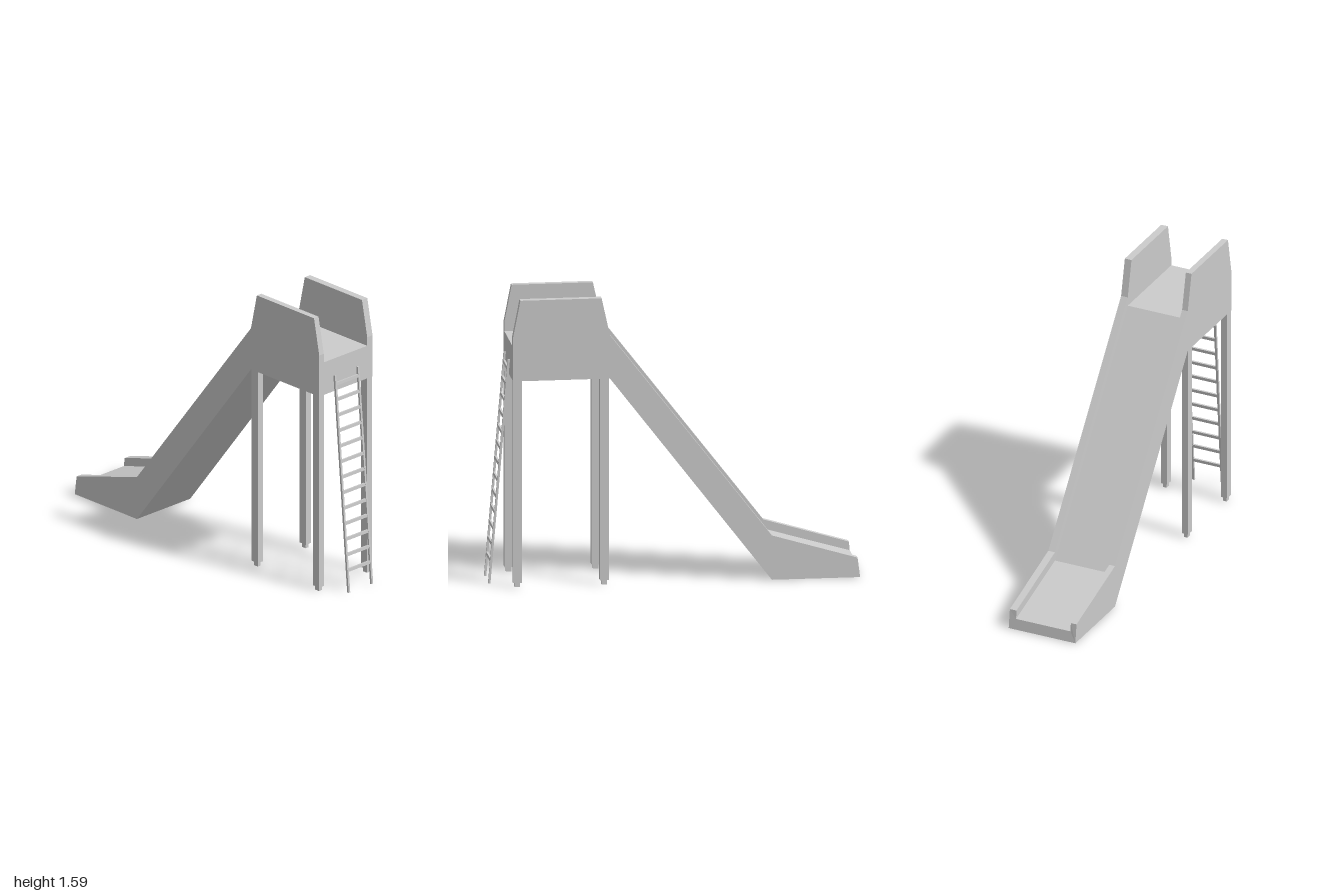
import * as THREE from 'three';

const mat = new THREE.MeshStandardMaterial({ color: 0xcccccc, flatShading: true, side: THREE.DoubleSide });

function add(parent, geometry, name, x = 0, y = 0, z = 0) {
  const m = new THREE.Mesh(geometry, mat);
  m.name = name;
  m.position.set(x, y, z);
  parent.add(m);
  return m;
}

// Hollow trough lofted through U-shaped sections; open beneath the run-out.
function chuteGeometry() {
  const xl = -0.2, xr = 0.2, il = -0.166, ir = 0.16;
  // z of bottom, z of floor, z of wall top, then heights of bottom, floor, wall top
  const stations = [
    [0.88, 0.88, 0.88, 1.14, 1.33, 1.38],
    [0.84, 0.84, 0.84, 1.14, 1.33, 1.585],
    [0.4, 0.4, 0.4, 1.14, 1.33, 1.585],
    [0.355, 0.355, 0.355, 1.14, 1.33, 1.38],
    [-0.522, -0.522, -0.522, 0, 0.195, 0.245],
    [-1, -0.991, -0.986, 0, 0.06, 0.108],
  ];
  const sections = stations.map(([zb, zf, zt, b, f, t]) => [
    [xl, b, zb], [xl, t, zt], [il, t, zt], [il, f, zf],
    [ir, f, zf], [ir, t, zt], [xr, t, zt], [xr, b, zb],
  ]);
  const pos = [];
  const quad = (a, b, c, d) => pos.push(...a, ...b, ...c, ...a, ...c, ...d);
  for (let i = 0; i < sections.length - 1; i++) {
    const s = sections[i], n = sections[i + 1];
    const sides = i === sections.length - 2 ? 7 : 8;
    for (let j = 0; j < sides; j++) {
      const k = (j + 1) % 8;
      quad(s[j], s[k], n[k], n[j]);
    }
  }
  // End caps
  const first = sections[0], last = sections[sections.length - 1];
  for (const [a, b, c, d] of [[0, 1, 2, 3], [0, 3, 4, 7], [4, 5, 6, 7]]) {
    quad(first[d], first[c], first[b], first[a]);
    quad(last[a], last[b], last[c], last[d]);
  }
  const g = new THREE.BufferGeometry();
  g.setAttribute('position', new THREE.Float32BufferAttribute(pos, 3));
  g.computeVertexNormals();
  return g;
}

export function createModel() {
  const model = new THREE.Group();
  model.name = 'playgroundSlide';
  add(model, chuteGeometry(), 'platformAndChute');

  // Legs with small stepped feet
  const legs = new THREE.Group();
  legs.name = 'legs';
  model.add(legs);
  for (const x of [-0.181, 0.179]) {
    for (const z of [0.855, 0.384]) {
      add(legs, new THREE.BoxGeometry(0.038, 1.115, 0.048), 'leg', x, 0.5825, z);
      add(legs, new THREE.BoxGeometry(0.022, 0.025, 0.03), 'foot', x, 0.0125, z);
    }
  }

  // Leaning ladder
  const ladder = new THREE.Group();
  ladder.name = 'ladder';
  model.add(ladder);
  const height = 1.235, lean = 0.106, baseZ = 0.994;
  const tilt = -Math.atan2(lean, height);
  for (const x of [-0.09, 0.082]) {
    const rail = add(ladder, new THREE.BoxGeometry(0.012, Math.hypot(height, lean), 0.012),
      'ladderRail', x, height / 2, baseZ - lean / 2);
    rail.rotation.x = tilt;
  }
  for (let i = 0; i < 13; i++) {
    const y = 0.125 + i * 0.0883;
    const rung = add(ladder, new THREE.BoxGeometry(0.172, 0.017, 0.011),
      'ladderRung', -0.004, y, baseZ - lean * y / height);
    rung.rotation.x = tilt;
  }
  return model;
}
